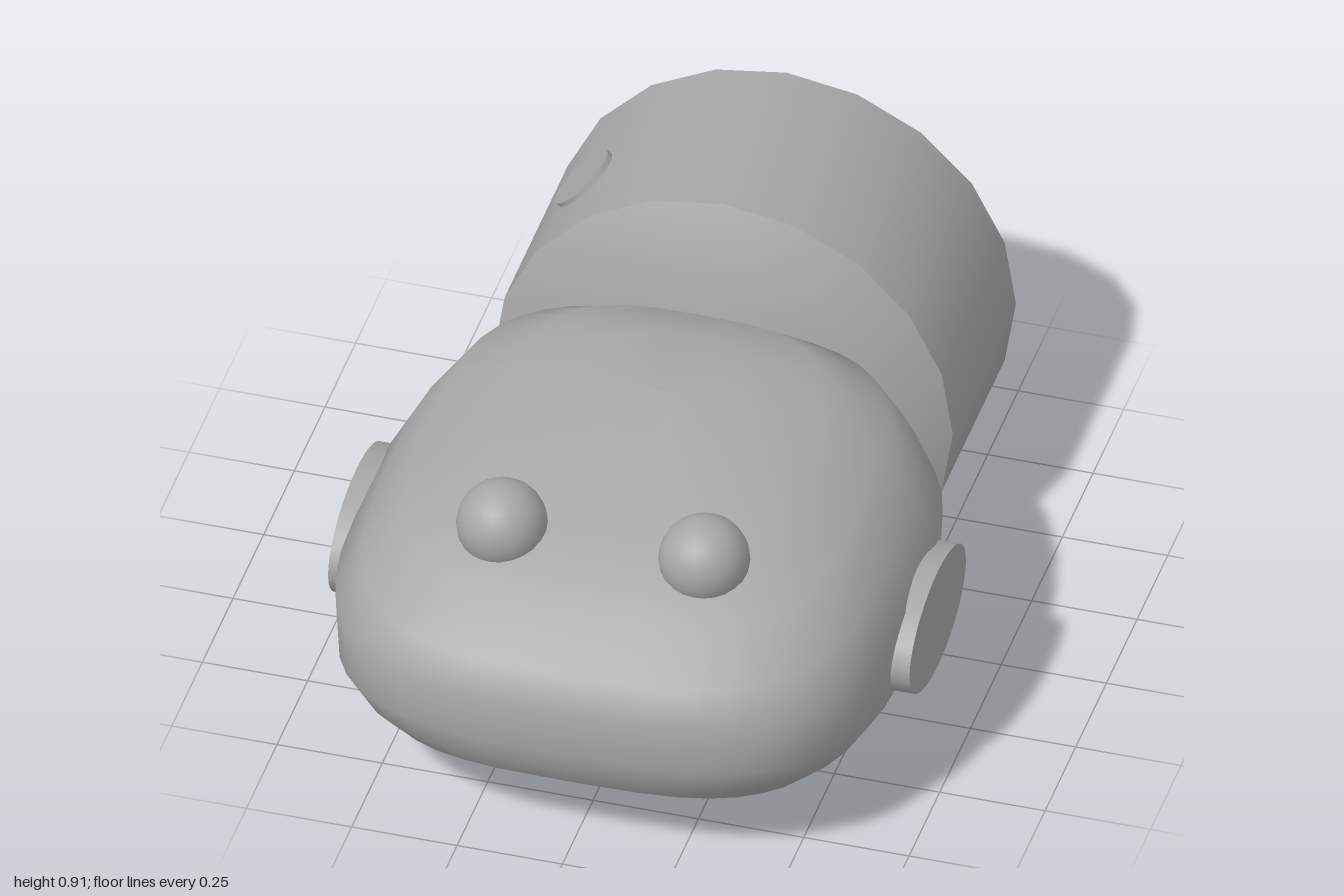
import * as THREE from 'three';
import { mergeVertices, toCreasedNormals } from 'three/addons/utils/BufferGeometryUtils.js';

// Keeps only the part of a geometry above y = 0, leaving the cut open.
function clipBelowGround(geometry) {
  const p = geometry.toNonIndexed().attributes.position;
  const out = [];
  for (let i = 0; i < p.count; i += 3) {
    const tri = [0, 1, 2].map((k) => new THREE.Vector3().fromBufferAttribute(p, i + k));
    const poly = [];
    tri.forEach((a, k) => {
      const b = tri[(k + 1) % 3];
      if (a.y >= 0) poly.push(a);
      if ((a.y >= 0) !== (b.y >= 0)) poly.push(a.clone().lerp(b, a.y / (a.y - b.y)));
    });
    for (let k = 1; k + 1 < poly.length; k++) {
      for (const v of [poly[0], poly[k], poly[k + 1]]) out.push(v.x, v.y, v.z);
    }
  }
  const g = new THREE.BufferGeometry();
  g.setAttribute('position', new THREE.Float32BufferAttribute(out, 3));
  return g;
}

// Rounded-square rings stacked from the open rim up to the crown.
function bodyGeometry() {
  // half width, back z, front z, back y, front y
  const levels = [
    [0.53, -0.22, 0.95, 0.05, 0.2],
    [0.595, -0.225, 0.98, 0.14, 0.25],
    [0.645, -0.23, 0.993, 0.24, 0.31],
    [0.655, -0.24, 0.993, 0.47, 0.42],
    [0.6, -0.235, 0.95, 0.57, 0.5],
    [0.52, -0.2, 0.84, 0.68, 0.59],
    [0.36, -0.12, 0.7, 0.755, 0.655],
    [0.18, 0.0, 0.52, 0.78, 0.71],
    [0.001, 0.2, 0.202, 0.774, 0.774],
  ];
  const n = 40;
  const pos = [];
  const index = [];
  const squared = (v) => Math.sign(v) * Math.abs(v) ** (2 / 3.2);
  levels.forEach(([w, zb, zf, yb, yf], j) => {
    for (let i = 0; i < n; i++) {
      const a = (i / n) * Math.PI * 2;
      const u = (squared(Math.cos(a)) + 1) / 2;
      pos.push(w * squared(Math.sin(a)), yb + (yf - yb) * u ** 1.9, zb + (zf - zb) * u);
      if (j === 0) continue;
      const k = (i + 1) % n;
      const lo = (j - 1) * n;
      const hi = j * n;
      index.push(lo + i, lo + k, hi + k, lo + i, hi + k, hi + i);
    }
  });
  const g = new THREE.BufferGeometry();
  g.setAttribute('position', new THREE.Float32BufferAttribute(pos, 3));
  g.setIndex(index);
  const merged = mergeVertices(g);
  merged.computeVertexNormals();
  return merged;
}

export function createModel() {
  const model = new THREE.Group();
  const grey = new THREE.MeshStandardMaterial({ color: 0xa6a6a6, side: THREE.DoubleSide });
  grey.name = 'plain grey';

  function add(name, geometry, x = 0, y = 0, z = 0) {
    const mesh = new THREE.Mesh(geometry, grey);
    mesh.name = name;
    mesh.position.set(x, y, z);
    model.add(mesh);
    return mesh;
  }

  // Hollow front body, open underneath
  add('body', bodyGeometry());

  // Eyes
  add('rightEye', new THREE.SphereGeometry(0.105, 24, 16), -0.245, 0.67, 0.65);
  add('leftEye', new THREE.SphereGeometry(0.105, 24, 16), 0.235, 0.67, 0.65);

  // Oval axle running through the body from side to side
  const axle = new THREE.CylinderGeometry(1, 1, 1.38, 40);
  axle.rotateZ(Math.PI / 2).scale(1, 0.135, 0.23);
  add('axle', axle, 0, 0.345, 0.31);

  // Rear drum: bevelled, with shallow cone ends, cut open at the ground
  const profile = [[0, 0.205], [0.43, 0.28], [0.545, 0.345], [0.545, 0.86], [0.43, 0.925], [0, 1]];
  const drum = new THREE.LatheGeometry(profile.map(([r, d]) => new THREE.Vector2(r, d)), 20);
  drum.rotateX(-Math.PI / 2).translate(-0.01, 0.36, 0);
  add('rearDrum', toCreasedNormals(clipBelowGround(drum), 0.6));

  // Small round plug set into the upper side of the drum
  const tilt = 0.82;
  const reach = 0.47;
  const plug = add('plug', new THREE.CylinderGeometry(0.085, 0.085, 0.16, 24),
    -0.01 - Math.sin(tilt) * reach, 0.36 + Math.cos(tilt) * reach, -0.57);
  plug.rotation.z = tilt;

  return model;
}
